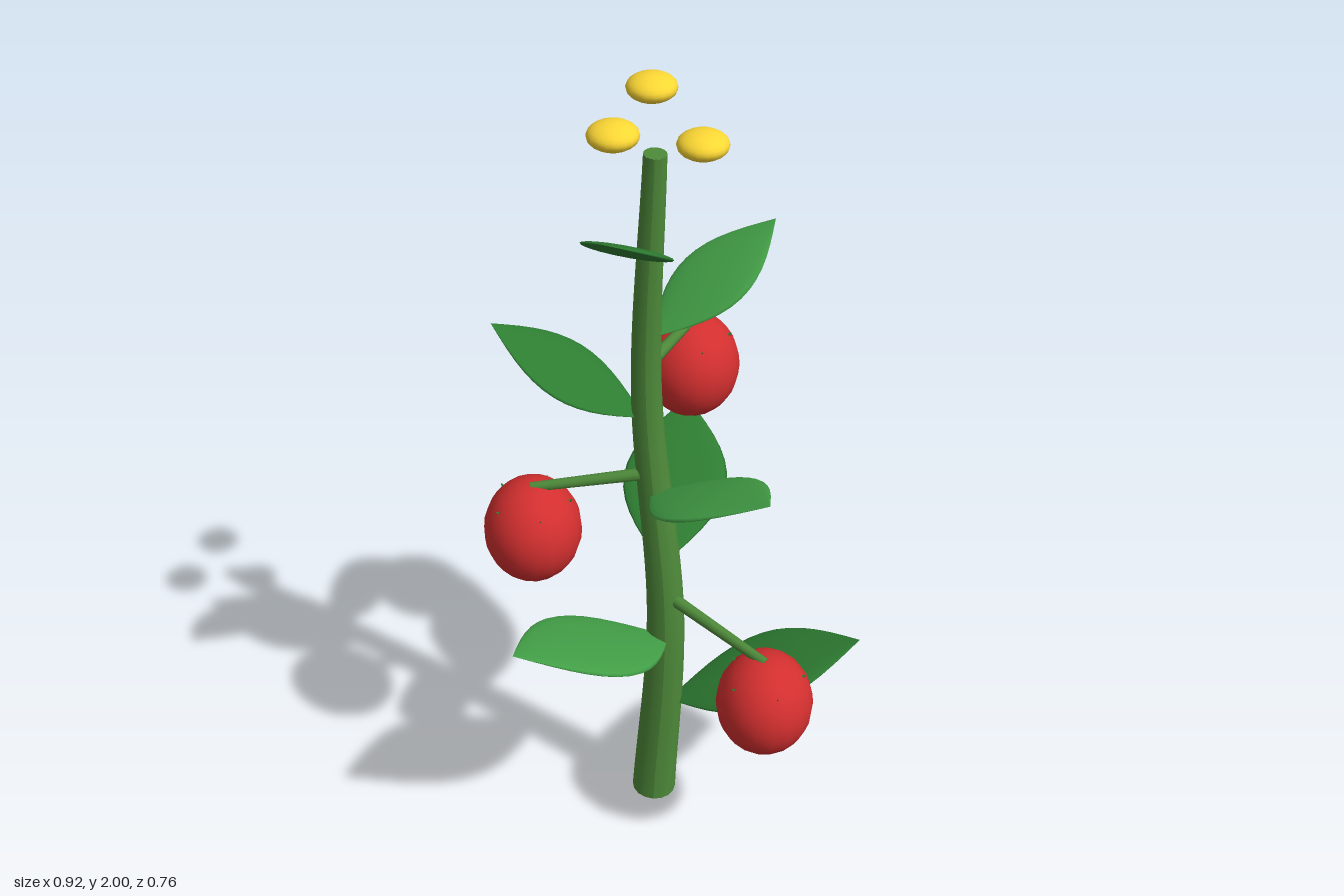
import * as THREE from 'three';

const mat = (color, side = THREE.FrontSide) => new THREE.MeshStandardMaterial({ color, side });
const V = (p) => new THREE.Vector3(...p);
const UP = new THREE.Vector3(0, 1, 0);

const green = mat(0x4e8a3a);
const leafDark = mat(0x2e7d32);
const leafLight = mat(0x43a047);
const red = mat(0xd32f2f);
const yellow = mat(0xfdd835);

function add(parent, name, geometry, material) {
  const mesh = new THREE.Mesh(geometry, material);
  mesh.name = name;
  parent.add(mesh);
  return mesh;
}

// Gently winding stem: a tube whose rings shrink towards the top
function makeStem(parent) {
  const curve = new THREE.CatmullRomCurve3([
    [-0.06, 0.005, 0.045], [-0.027, 0.6, 0.05], [-0.07, 1.25, 0.022], [-0.045, 1.87, 0.042],
  ].map(V));
  const rings = 32, sides = 16, base = 0.056, top = 0.026;
  const geo = new THREE.TubeGeometry(curve, rings, base, sides);
  const pos = geo.attributes.position;
  const p = new THREE.Vector3();
  for (let i = 0; i < pos.count; i++) {
    const u = Math.floor(i / (sides + 1)) / rings;
    const centre = curve.getPointAt(u);
    p.fromBufferAttribute(pos, i).sub(centre).multiplyScalar(1 + (top / base - 1) * u).add(centre);
    pos.setXYZ(i, p.x, p.y, p.z);
  }
  geo.computeVertexNormals();
  const stem = new THREE.Group();
  stem.name = 'stem';
  parent.add(stem);
  add(stem, 'stemTube', geo, green);
  // End caps
  [[0, base, -1], [1, top, 1]].forEach(([u, r, sign]) => {
    const cap = add(stem, 'stemCap', new THREE.CircleGeometry(r, sides), green);
    cap.position.copy(curve.getPointAt(u));
    cap.quaternion.setFromUnitVectors(new THREE.Vector3(0, 0, 1),
      curve.getTangentAt(u).multiplyScalar(sign));
  });
}

// Leaf blank: pointed at both ends, one unit long, flattened when placed
const leafProfile = [];
for (let i = 0; i <= 14; i++) {
  leafProfile.push(new THREE.Vector2(i % 14 ? Math.sin(Math.PI * i / 14) : 0, i / 14));
}
const leafGeo = new THREE.LatheGeometry(leafProfile, 20);

function makeLeaf(parent, from, to, material) {
  const dir = V(to).sub(V(from));
  const length = dir.length();
  dir.normalize();
  const side = new THREE.Vector3().crossVectors(dir, UP).normalize();
  const normal = new THREE.Vector3().crossVectors(side, dir);
  const leaf = add(parent, 'leaf', leafGeo, material);
  leaf.position.set(...from);
  leaf.quaternion.setFromRotationMatrix(new THREE.Matrix4().makeBasis(side, dir, normal));
  leaf.scale.set(length * 0.275, length, length * 0.033);
}

// Fruit with its stalk and a ring of small sepals half sunk in the skin
const fruitGeo = new THREE.SphereGeometry(0.13, 18, 14);
const sepalGeo = new THREE.ConeGeometry(0.01, 0.022, 4);

function makeFruit(parent, from, centre) {
  const group = new THREE.Group();
  group.name = 'fruit';
  parent.add(group);
  const body = add(group, 'fruitBody', fruitGeo, red);
  body.position.set(...centre);
  body.scale.x = 0.91;

  const start = V(from);
  const end = V(centre).add(new THREE.Vector3(0, 0.122, 0));
  const dir = end.clone().sub(start);
  const stalk = add(group, 'fruitStalk',
    new THREE.CylinderGeometry(0.012, 0.016, dir.length(), 10), green);
  stalk.position.copy(start).add(end).multiplyScalar(0.5);
  stalk.quaternion.setFromUnitVectors(UP, dir.normalize());

  for (let i = 0; i < 5; i++) {
    const a = i * Math.PI * 2 / 5;
    const offset = new THREE.Vector3(Math.cos(a) * 0.09, 0.082, Math.sin(a) * 0.09);
    const sepal = add(group, 'sepal', sepalGeo, leafDark);
    sepal.position.set(...centre).add(offset);
    sepal.quaternion.setFromUnitVectors(UP, offset.normalize());
  }
}

export function createModel() {
  const model = new THREE.Group();
  model.name = 'fruitingPlant';
  makeStem(model);

  // Leaves spiral up the stem, alternating in shade: [base, tip]
  [
    [[-0.02, 0.31, 0.045], [0.46, 0.52, 0.04]],
    [[-0.02, 0.53, 0.05], [-0.37, 0.74, 0.375]],
    [[-0.035, 0.75, 0.04], [0.015, 0.96, -0.38]],
    [[-0.06, 0.97, 0.04], [0.215, 1.175, 0.355]],
    [[-0.075, 1.18, 0.03], [-0.43, 1.385, -0.045]],
    [[-0.06, 1.4, 0.03], [0.22, 1.6, -0.17]],
    [[-0.055, 1.61, 0.035], [-0.145, 1.81, 0.325]],
  ].forEach(([from, to], i) => makeLeaf(model, from, to, i % 2 ? leafLight : leafDark));

  // Fruits: [stalk start on the stem, fruit centre]
  [
    [[-0.03, 0.67, 0.05], [0.22, 0.505, 0.255]],
    [[-0.055, 1.03, 0.04], [-0.345, 0.87, 0.055]],
    [[-0.065, 1.325, 0.025], [0.027, 1.16, -0.237]],
  ].forEach(([from, centre]) => makeFruit(model, from, centre));

  // Blossoms: flattened balls hovering over the tip
  const blossomGeo = new THREE.SphereGeometry(0.057, 18, 12);
  [[-0.13, 1.943, 0.105], [-0.056, 1.97, -0.07], [0.057, 1.913, 0.082]].forEach((p) => {
    const blossom = add(model, 'blossom', blossomGeo, yellow);
    blossom.position.set(...p);
    blossom.scale.y = 0.52;
  });
  return model;
}
